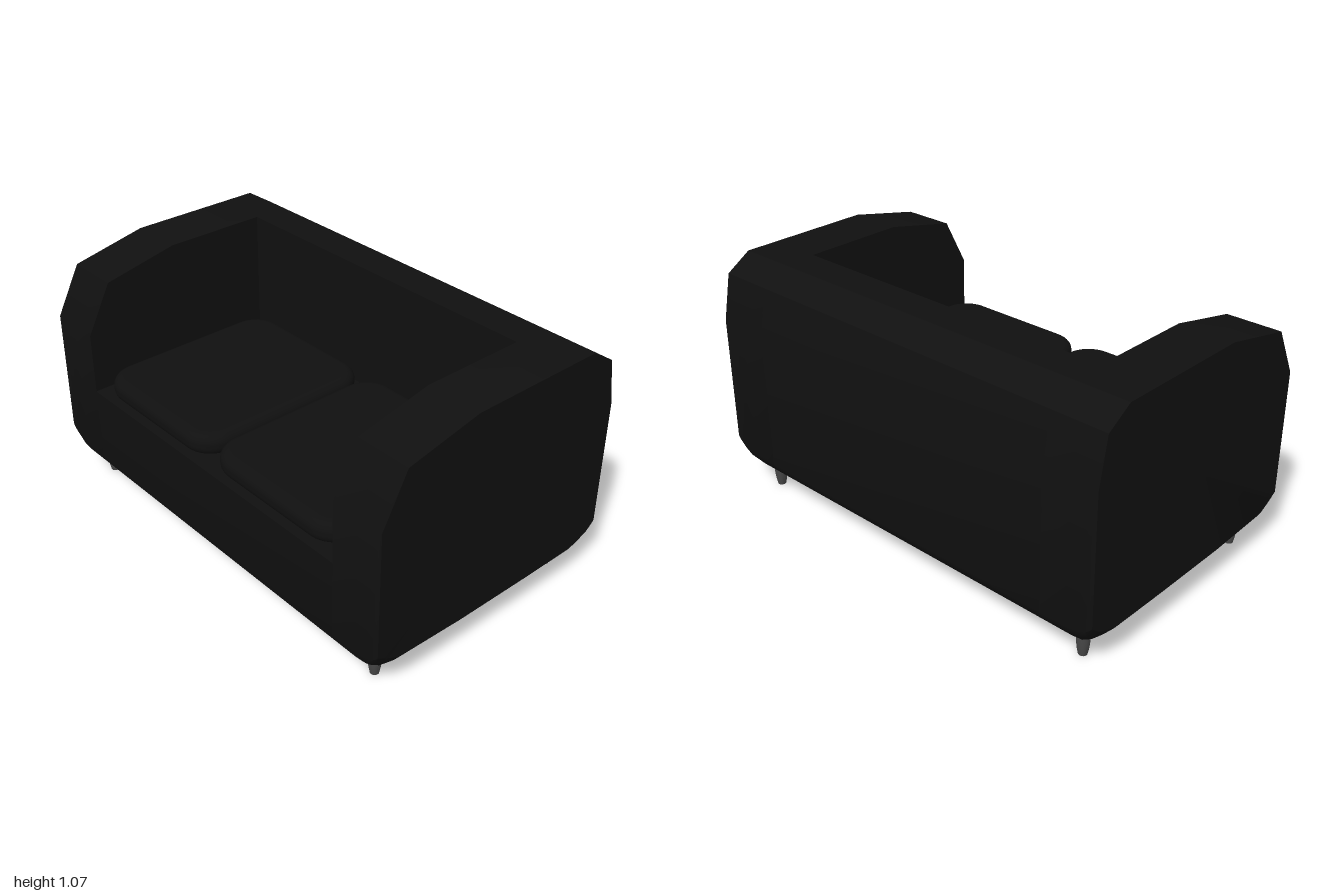
import * as THREE from 'three';
import { toCreasedNormals } from 'three/addons/utils/BufferGeometryUtils.js';

// Side profile as [z, y]: underside front to back, then [z, y, y at the outer side panel]
const UNDER = [
  [0.6, 0.19, 0.24], [0.59, 0.155, 0.235], [0.56, 0.125, 0.215], [0.5, 0.117, 0.185],
  [0.18, 0.111, 0.168], [-0.18, 0.111, 0.166], [-0.45, 0.111, 0.168], [-0.5, 0.113, 0.18],
  [-0.56, 0.125, 0.205], [-0.59, 0.16, 0.23], [-0.6, 0.19, 0.24],
];
const BACK = [[-0.6, 0.8], [-0.56, 1.0], [-0.45, 1.07]];
const ARM_FRONT = [[0.16, 1.07], [0.49, 1.0], [0.6, 0.79]];
const INNER_X = 0.76, SEAT_Y = 0.52, BACK_FRONT_Z = -0.3;

const armRing = (lift) => [
  ...UNDER.map(([z, y, side]) => [z, y + (side - y) * lift]), ...BACK, ...ARM_FRONT,
];

// Skin a row of [x, ring] stations (x ascending) and close both ends
function loft(stations) {
  const pos = [], index = [], n = stations[0][1].length;
  for (const [x, ring] of stations) for (const [z, y] of ring) pos.push(x, y, z);
  for (let s = 0; s < stations.length - 1; s++) {
    for (let i = 0; i < n; i++) {
      const a = s * n + i, b = s * n + (i + 1) % n;
      index.push(a, b, a + n, b, b + n, a + n);
    }
  }
  const last = (stations.length - 1) * n, c = pos.length / 3;
  pos.push(stations[0][0], 0.6, 0, stations.at(-1)[0], 0.6, 0);
  for (let i = 0; i < n; i++) {
    const j = (i + 1) % n;
    index.push(c, j, i, c + 1, last + i, last + j);
  }
  const g = new THREE.BufferGeometry();
  g.setAttribute('position', new THREE.Float32BufferAttribute(pos, 3));
  g.setIndex(index);
  return toCreasedNormals(g, 0.5);
}

// Rounded seat cushion lying flat, with a pillowed edge
function cushionGeometry(w, d, h, r) {
  const bevel = 0.042, x = w / 2 - bevel, y = d / 2 - bevel, k = r - bevel;
  const s = new THREE.Shape();
  s.moveTo(-x + k, -y);
  s.lineTo(x - k, -y).absarc(x - k, -y + k, k, -Math.PI / 2, 0);
  s.lineTo(x, y - k).absarc(x - k, y - k, k, 0, Math.PI / 2);
  s.lineTo(-x + k, y).absarc(-x + k, y - k, k, Math.PI / 2, Math.PI);
  s.lineTo(-x, -y + k).absarc(-x + k, -y + k, k, Math.PI, Math.PI * 1.5);
  const g = new THREE.ExtrudeGeometry(s, {
    depth: h - 2 * bevel, bevelThickness: bevel, bevelSize: bevel, bevelSegments: 6, curveSegments: 8,
  });
  g.rotateX(-Math.PI / 2).center();
  return toCreasedNormals(g, 0.7);
}

export function createModel() {
  const model = new THREE.Group();
  model.name = 'sofa';
  const fabric = new THREE.MeshStandardMaterial({ color: 0x101010 });
  const legMaterial = new THREE.MeshStandardMaterial({ color: 0x484848 });
  const add = (name, geometry, material) => {
    const mesh = new THREE.Mesh(geometry, material);
    mesh.name = name;
    model.add(mesh);
    return mesh;
  };

  // Arms, with the lower outside edge curving up to the side panel
  const steps = [[INNER_X, 0], [0.88, 0], [0.93, 0.08], [0.97, 0.4], [0.985, 0.65], [1, 1]];
  const stations = (side) => steps.map(([x, lift]) => [side * x, armRing(lift)]);
  add('leftArm', loft(stations(1)), fabric);
  add('rightArm', loft(stations(-1).reverse()), fabric);

  // Seat base and backrest as one L-shaped section between the arms
  const section = [
    ...UNDER.map(([z, y]) => [z, y]), ...BACK,
    [BACK_FRONT_Z, 1.07], [BACK_FRONT_Z, SEAT_Y], [0.6, SEAT_Y],
  ];
  const shape = new THREE.Shape(section.map(([z, y]) => new THREE.Vector2(z, y)));
  const body = new THREE.ExtrudeGeometry(shape, { depth: 2 * INNER_X, bevelEnabled: false });
  body.translate(0, 0, -INNER_X).rotateY(-Math.PI / 2);
  add('seatAndBackrest', toCreasedNormals(body, 0.5), fabric);

  // Two seat cushions
  const cushion = cushionGeometry(0.73, 0.86, 0.095, 0.13);
  for (const side of [1, -1]) {
    add(side > 0 ? 'leftCushion' : 'rightCushion', cushion, fabric)
      .position.set(side * 0.37, 0.568, 0.15);
  }

  // Tapered legs
  const profile = [[0, 0], [0.018, 0], [0.023, 0.025], [0.027, 0.06], [0.03, 0.115], [0.03, 0.13], [0, 0.13]];
  const leg = toCreasedNormals(
    new THREE.LatheGeometry(profile.map(([r, y]) => new THREE.Vector2(r, y)), 16), 0.7);
  for (const x of [0.865, -0.88]) {
    for (const z of [0.48, -0.49]) {
      add((z > 0 ? 'front' : 'back') + (x > 0 ? 'Left' : 'Right') + 'Leg', leg, legMaterial)
        .position.set(x, 0, z);
    }
  }
  return model;
}
